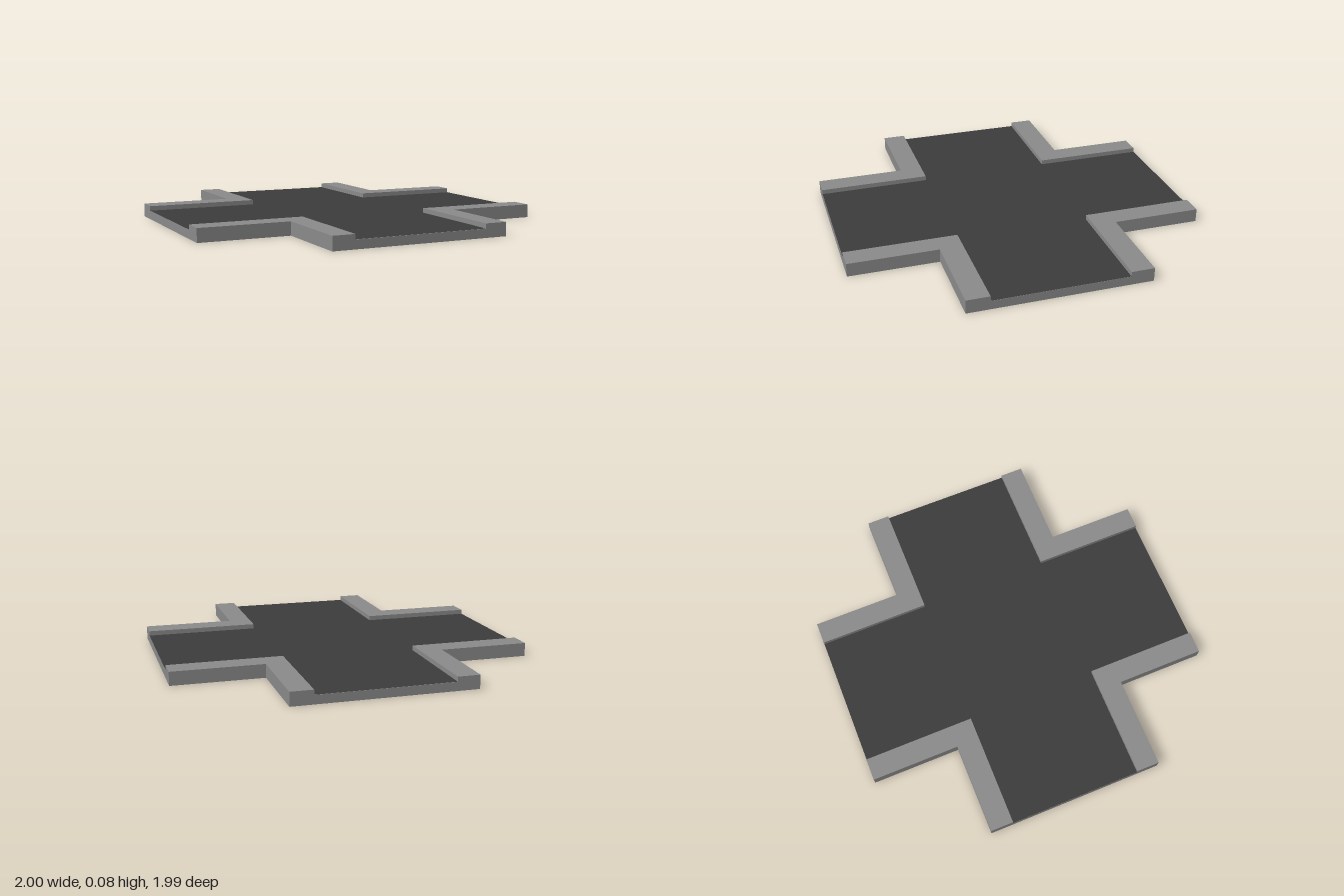
import * as THREE from 'three';

const END_X = 1, END_Z = 0.995;      // reach of the arms
const OUT_X = 0.495, OUT_Z = 0.5;    // half widths of the arms
const ROAD = 0.372;                  // half width of the roadway
const ROAD_Y = 0.048, KERB_Y = 0.075;

const polygon = (points) => new THREE.Shape(points.map(([x, y]) => new THREE.Vector2(x, y)));

// Plus-shaped outline with the given arm half widths
const crossShape = (wx, wz) => polygon([
  [wx, END_Z], [-wx, END_Z], [-wx, wz], [-END_X, wz], [-END_X, -wz], [-wx, -wz],
  [-wx, -END_Z], [wx, -END_Z], [wx, -wz], [END_X, -wz], [END_X, wz], [wx, wz],
]);

// Lays a shape flat and raises it from y0 to y1
function raise(shape, y0, y1) {
  const geometry = new THREE.ExtrudeGeometry(shape, { depth: y1 - y0, bevelEnabled: false });
  return geometry.rotateX(-Math.PI / 2).translate(0, y0, 0);
}

export function createModel() {
  const group = new THREE.Group();
  const stone = new THREE.MeshStandardMaterial({ color: 0x8a8a8a });
  const asphalt = new THREE.MeshStandardMaterial({ color: 0x3c3c3c });

  function add(name, geometry, material) {
    const mesh = new THREE.Mesh(geometry, material);
    mesh.name = name;
    group.add(mesh);
  }

  // Base under roadway and pavements
  add('baseSlab', raise(crossShape(OUT_X, OUT_Z), 0, ROAD_Y), stone);

  // Dark crossing surface
  const surface = new THREE.ShapeGeometry(crossShape(ROAD, ROAD));
  add('roadSurface', surface.rotateX(-Math.PI / 2).translate(0, ROAD_Y + 0.001, 0), asphalt);

  // L-shaped pavement at each of the four corners
  for (const [side, sx] of [['Left', 1], ['Right', -1]]) {
    for (const [end, sz] of [['front', -1], ['back', 1]]) {
      const corner = polygon([
        [ROAD, ROAD], [END_X, ROAD], [END_X, OUT_Z],
        [OUT_X, OUT_Z], [OUT_X, END_Z], [ROAD, END_Z],
      ].map(([x, z]) => [x * sx, z * sz]));
      add(`${end}${side}Pavement`, raise(corner, ROAD_Y, KERB_Y), stone);
    }
  }
  return group;
}
